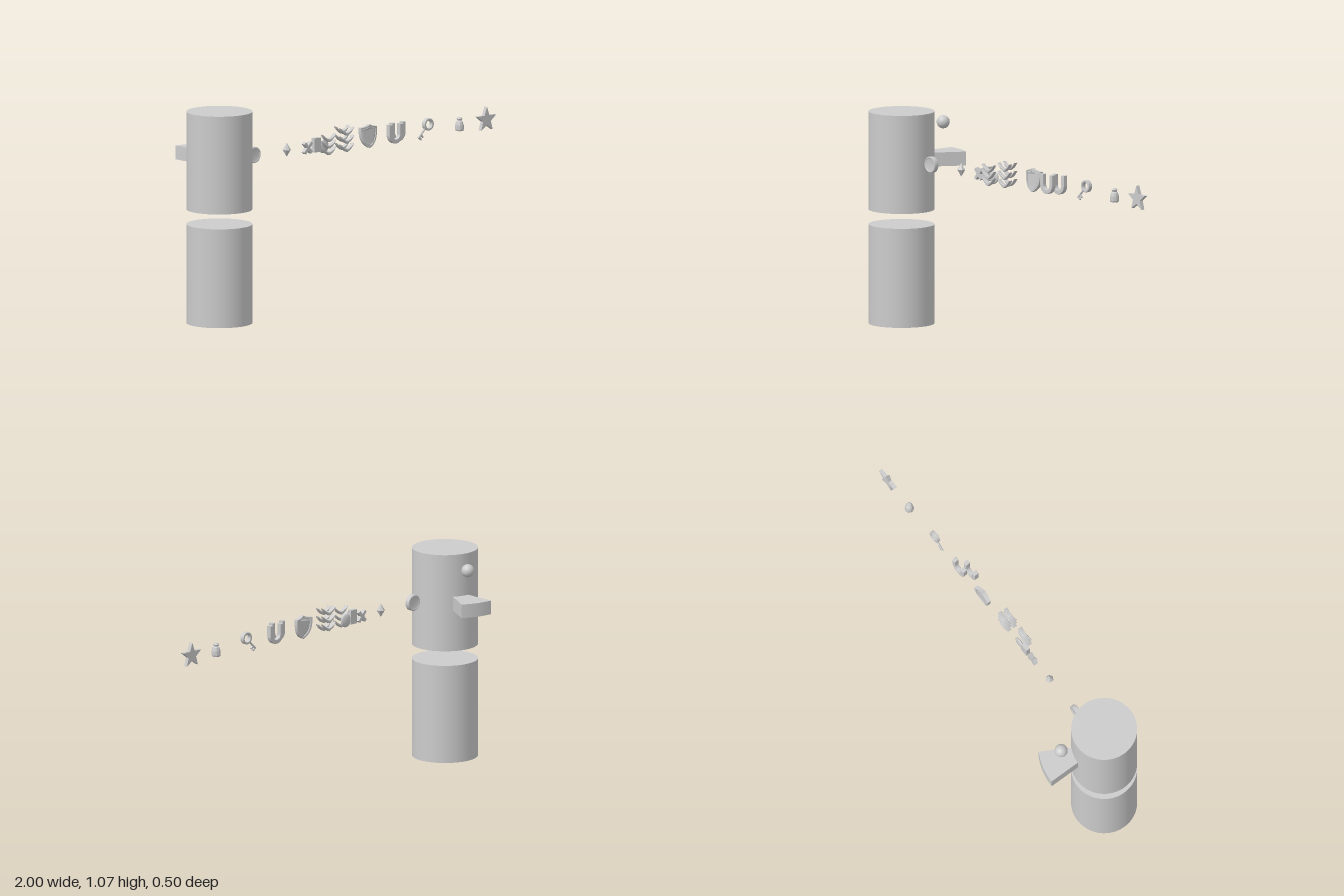
import * as THREE from 'three';

const grey = new THREE.MeshStandardMaterial({ color: 0xcccccc, side: THREE.DoubleSide });
const flat = new THREE.MeshStandardMaterial({ color: 0xcccccc, flatShading: true, side: THREE.DoubleSide });

export function createModel() {
  const root = new THREE.Group();
  const Y = 0.825, Z = 0.08;

  function add(name, geo, x, y, z, mat = grey, parent = root) {
    const m = new THREE.Mesh(geo, mat);
    m.name = name;
    m.position.set(x, y, z);
    parent.add(m);
    return m;
  }
  function group(name, x, y, z) {
    const g = new THREE.Group();
    g.name = name;
    g.position.set(x, y, z);
    root.add(g);
    return g;
  }
  // Extrusion centred on its own depth, with an optional bevel inside the outline
  function slab(shape, depth, bevel = 0) {
    const geo = new THREE.ExtrudeGeometry(shape, {
      depth: depth - 2 * bevel, bevelEnabled: bevel > 0, bevelThickness: bevel,
      bevelSize: bevel, bevelOffset: -bevel, bevelSegments: 2, curveSegments: 16
    });
    return geo.translate(0, 0, bevel - depth / 2);
  }

  // Two stacked drums
  add('lowerDrum', new THREE.CylinderGeometry(0.165, 0.165, 0.5, 64), -0.835, 0.25, Z);
  add('upperDrum', new THREE.CylinderGeometry(0.165, 0.165, 0.495, 64), -0.835, 0.8225, Z);

  // Ring sector behind the upper drum
  const sector = new THREE.Shape();
  sector.absarc(0, 0, 0.33, Math.PI / 3, Math.PI / 2, false);
  sector.absarc(0, 0, 0.163, Math.PI / 2, Math.PI / 3, true);
  sector.closePath();
  add('sectorBlock', slab(sector, 0.07).rotateX(-Math.PI / 2), -0.835, 0.82, Z);
  add('ball', new THREE.SphereGeometry(0.033, 32, 20), -0.775, 1.0, -0.145);

  // Coin with a raised rim
  const coin = [[0, -0.008], [0.03, -0.008], [0.032, -0.013], [0.038, -0.013], [0.041, -0.01],
    [0.041, 0.01], [0.038, 0.013], [0.032, 0.013], [0.03, 0.008], [0, 0.008]];
  add('coin', new THREE.LatheGeometry(coin.map(p => new THREE.Vector2(...p)), 40).rotateX(Math.PI / 2),
    -0.61, Y, Z);

  // Faceted gem
  const gem = [[0, -0.035], [0.021, 0], [0, 0.035]];
  add('gem', new THREE.LatheGeometry(gem.map(p => new THREE.Vector2(...p)), 6), -0.387, Y, Z, flat);

  // Crossed bars with a plain block beside them
  const cross = group('crossMark', -0.25, 0.82, Z);
  for (const s of [-1, 1]) {
    add('crossBar', new THREE.BoxGeometry(0.015, 0.068, 0.022), 0, 0, 0, flat, cross).rotation.z = s * 0.72;
  }
  add('markBlock', new THREE.BoxGeometry(0.042, 0.072, 0.022), -0.19, 0.828, Z, flat);

  // Small rounded token
  const token = new THREE.SphereGeometry(0.034, 24, 16).scale(1, 1, 0.3);
  add('token', token, -0.143, 0.815, Z);

  // Stacks of three crescent chevrons
  const chevron = new THREE.Shape();
  chevron.moveTo(0, -0.02);
  chevron.quadraticCurveTo(0.032, -0.006, 0.043, 0.021);
  chevron.quadraticCurveTo(0.022, 0.002, 0, -0.004);
  chevron.quadraticCurveTo(-0.022, 0.002, -0.043, 0.021);
  chevron.quadraticCurveTo(-0.032, -0.006, 0, -0.02);
  const chevronGeo = slab(chevron, 0.022, 0.003);
  for (const [x, y, z] of [[-0.02, 0.803, Z], [-0.02, 0.798, 0.115], [-0.14, 0.795, 0.115]]) {
    const stack = group('chevronStack', x, y, z);
    for (let i = 0; i < 3; i++) {
      add('chevron', chevronGeo, 0, i * (x < -0.1 ? 0.033 : 0.041), 0, grey, stack);
    }
  }

  // Curved shield: a rim around a thinner plate
  function shieldOutline(target, k) {
    target.moveTo(0, -0.06 * k);
    target.bezierCurveTo(0.035 * k, -0.045 * k, 0.055 * k, -0.02 * k, 0.053 * k, 0.045 * k);
    target.quadraticCurveTo(0.02 * k, 0.047 * k, 0, 0.06 * k);
    target.quadraticCurveTo(-0.02 * k, 0.047 * k, -0.053 * k, 0.045 * k);
    target.bezierCurveTo(-0.055 * k, -0.02 * k, -0.035 * k, -0.045 * k, 0, -0.06 * k);
    return target;
  }
  function bend(geo) {
    const p = geo.attributes.position;
    for (let i = 0; i < p.count; i++) p.setZ(i, p.getZ(i) + 0.004 - 3 * p.getX(i) ** 2);
    geo.computeVertexNormals();
    return geo;
  }
  const shield = group('shield', 0.157, 0.835, Z);
  const rim = shieldOutline(new THREE.Shape(), 1);
  rim.holes.push(shieldOutline(new THREE.Path(), 0.8));
  add('shieldRim', bend(slab(rim, 0.02)), 0, 0, 0, grey, shield);
  add('shieldPlate', bend(slab(shieldOutline(new THREE.Shape(), 0.82), 0.011)), 0, 0, 0, grey, shield);

  // Two horseshoe magnets
  const magnet = new THREE.Shape();
  magnet.moveTo(-0.046, 0.05);
  magnet.lineTo(-0.046, -0.002);
  magnet.absarc(0, -0.002, 0.046, Math.PI, Math.PI * 2, false);
  magnet.lineTo(0.046, 0.05);
  magnet.lineTo(0.024, 0.05);
  magnet.lineTo(0.024, -0.002);
  magnet.absarc(0, -0.002, 0.024, 0, Math.PI, true);
  magnet.lineTo(-0.024, 0.05);
  magnet.closePath();
  const magnetGeo = slab(magnet, 0.024, 0.003);
  add('magnet', magnetGeo, 0.302, 0.833, 0.115);
  add('magnet', magnetGeo, 0.35, 0.833, Z);

  // Key, leaning with its ring up to the model's left
  const key = group('key', 0.553, 0.849, Z);
  key.rotation.z = Math.PI / 4;
  const ring = new THREE.Shape().absarc(0, 0, 0.031, 0, Math.PI * 2, false);
  ring.holes.push(new THREE.Path().absarc(0, 0, 0.02, 0, Math.PI * 2, true));
  add('keyRing', slab(ring, 0.022, 0.002), 0, 0, 0, grey, key);
  add('keyShaft', new THREE.CylinderGeometry(0.005, 0.005, 0.064, 12).rotateZ(Math.PI / 2),
    -0.058, 0, 0, grey, key);
  for (const x of [-0.084, -0.068]) {
    add('keyTooth', new THREE.BoxGeometry(0.008, 0.018, 0.009), x, -0.01, 0, flat, key);
  }

  // Small tied pouch
  const pouch = [[0, -0.034], [0.02, -0.034], [0.023, -0.026], [0.022, -0.005], [0.017, 0.012],
    [0.011, 0.018], [0.015, 0.028], [0.01, 0.034], [0, 0.034]];
  add('pouch', new THREE.LatheGeometry(pouch.map(p => new THREE.Vector2(...p)), 10), 0.763, 0.827, Z, flat);

  // Five-pointed star
  const star = new THREE.Shape();
  for (let i = 0; i < 10; i++) {
    const r = i % 2 ? 0.027 : 0.065, a = Math.PI / 2 + i * Math.PI / 5;
    star[i ? 'lineTo' : 'moveTo'](r * Math.cos(a), r * Math.sin(a));
  }
  star.closePath();
  add('star', slab(star, 0.02), 0.938, 0.83, Z, flat);

  return root;
}
